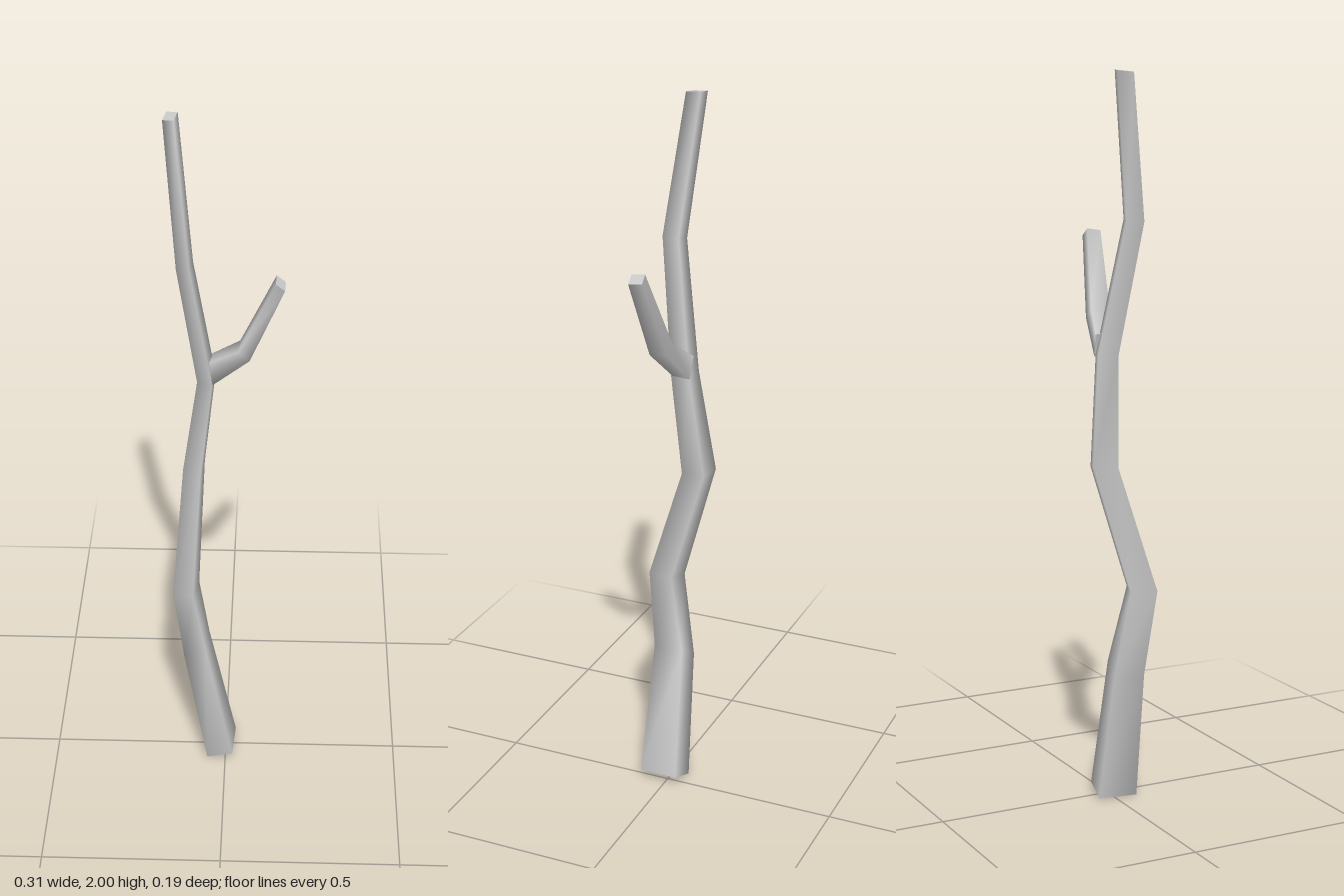
import * as THREE from 'three';

const corners = [[-1, -1], [1, -1], [1, 1], [-1, 1]];

// Four-sided limb swept through rings of [centre, half width vector, half depth vector].
// The sides share smooth normals; the end caps stay flat.
function limb(name, rings, material) {
  const positions = [], index = [];
  const addRing = ([c, u, v]) => {
    const start = positions.length / 3;
    for (const [a, b] of corners) {
      for (let k = 0; k < 3; k++) positions.push(c[k] + a * u[k] + b * v[k]);
    }
    return start;
  };

  // sides
  rings.forEach(addRing);
  for (let r = 0; r < rings.length - 1; r++) {
    for (let i = 0; i < 4; i++) {
      const a = r * 4 + i, b = r * 4 + (i + 1) % 4;
      index.push(a, b, b + 4, a, b + 4, a + 4);
    }
  }

  // end caps
  const low = addRing(rings[0]);
  index.push(low, low + 2, low + 1, low, low + 3, low + 2);
  const top = addRing(rings[rings.length - 1]);
  index.push(top, top + 1, top + 2, top, top + 2, top + 3);

  const geometry = new THREE.BufferGeometry();
  geometry.setAttribute('position', new THREE.Float32BufferAttribute(positions, 3));
  geometry.setIndex(index);
  geometry.computeVertexNormals();
  const mesh = new THREE.Mesh(geometry, material);
  mesh.name = name;
  return mesh;
}

export function createModel() {
  const group = new THREE.Group();
  group.name = 'branch';
  const bark = new THREE.MeshStandardMaterial({ color: 0xcccccc });

  // main stem, from the slanted cut at the foot to the tip
  group.add(limb('mainStem', [
    [[-0.012, 0.014, 0.014], [0.037, 0.012, 0.0055], [0.004, 0.002, -0.056]],
    [[-0.083, 0.385, 0.015], [0.031, 0.017, 0.006], [0.004, 0, -0.044]],
    [[-0.11, 0.61, 0.05], [0.0285, 0.003, 0.0085], [0.007, 0, -0.037]],
    [[-0.09, 0.953, -0.055], [0.024, -0.004, 0.008], [0.005, 0.003, -0.035]],
    [[-0.053, 1.25, -0.028], [0.02, -0.002, 0.006], [0.004, 0.004, -0.028]],
    [[-0.105, 1.61, 0.025], [0.017, 0.003, 0.005], [0.004, 0, -0.025]],
    [[-0.139, 1.997, -0.022], [0.0145, 0.001, 0.004], [0.004, 0.002, -0.0225]],
  ], bark));

  // side twig growing out of the fork
  group.add(limb('sideTwig', [
    [[-0.039, 1.275, -0.028], [0.008, -0.031, 0.002], [0.004, 0, -0.027]],
    [[0.05, 1.348, -0.003], [0.016, -0.013, 0], [0.003, 0.003, -0.027]],
    [[0.142, 1.563, 0.024], [0.012, -0.01, -0.001], [0.001, 0.003, -0.02]],
  ], bark));

  return group;
}
